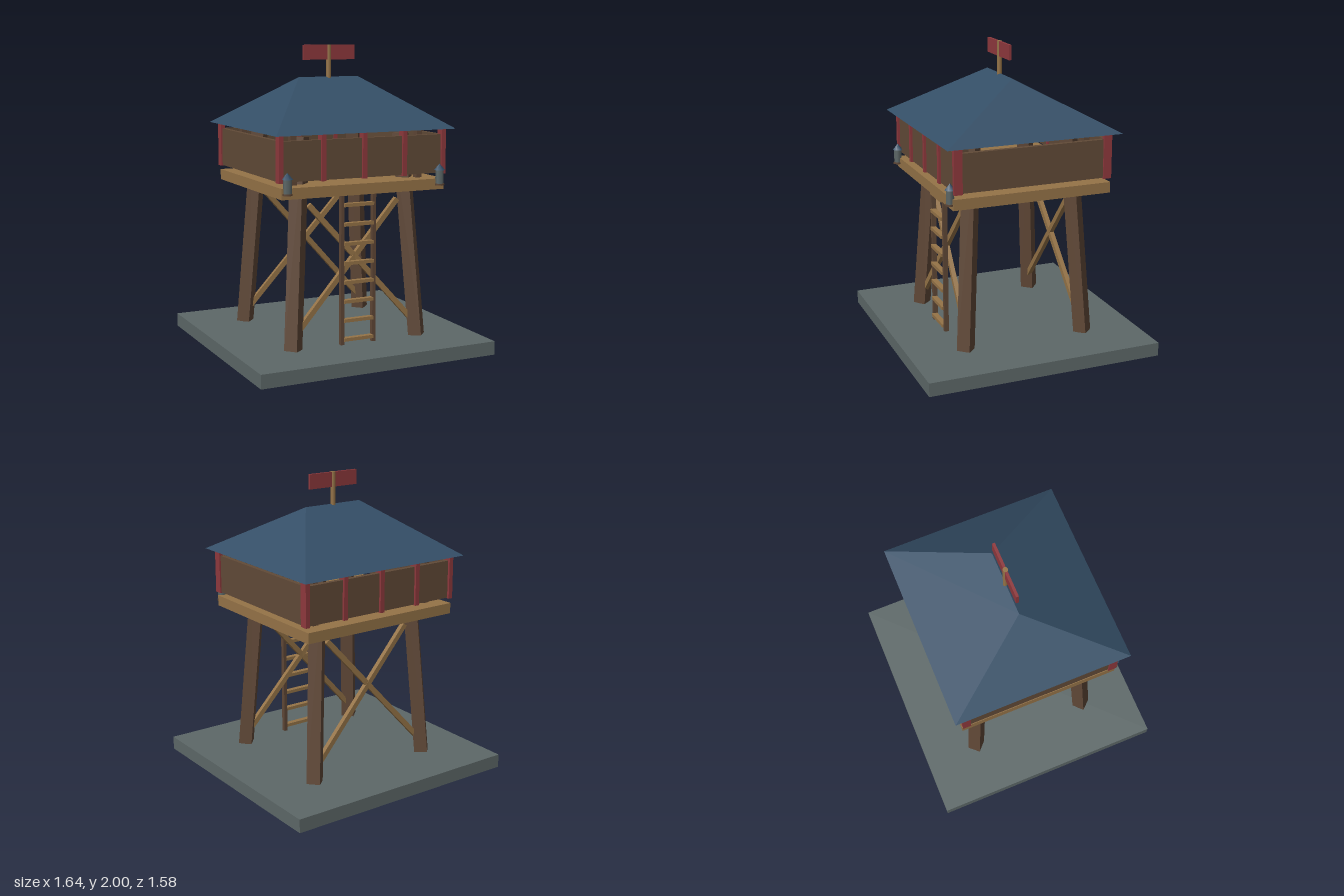
import * as THREE from 'three';

const mat = (name, color) => {
  const m = new THREE.MeshStandardMaterial({ color });
  m.name = name;
  return m;
};

export function createModel() {
  const stone = mat('stone', 0x5d6868);
  const timber = mat('dark timber', 0x5f4736);
  const plank = mat('wall plank', 0x614a37);
  const lightWood = mat('light wood', 0x957347);
  const red = mat('red paint', 0x8f393d);
  const blue = mat('blue roof', 0x344e66);

  const model = new THREE.Group();
  model.name = 'watchtower';

  const add = (name, geometry, material, x = 0, y = 0, z = 0) => {
    const mesh = new THREE.Mesh(geometry, material);
    mesh.name = name;
    mesh.position.set(x, y, z);
    model.add(mesh);
    return mesh;
  };
  const box = (name, material, w, h, d, x, y, z) =>
    add(name, new THREE.BoxGeometry(w, h, d), material, x, y, z);

  // Square bar running from point a to point b
  const beam = (name, material, a, b, w, h) => {
    const from = new THREE.Vector3(...a), to = new THREE.Vector3(...b);
    const mid = from.clone().add(to).multiplyScalar(0.5);
    const mesh = box(name, material, w, h, from.distanceTo(to), mid.x, mid.y, mid.z);
    mesh.lookAt(to);
    return mesh;
  };

  // Base and deck
  box('base', stone, 1.64, 0.09, 1.58, 0, 0.045, 0);
  box('deck', lightWood, 1.14, 0.07, 1.065, 0, 1.11, 0);

  // Leaning legs and the upright roof posts
  for (const sx of [-1, 1]) {
    for (const sz of [-1, 1]) {
      beam('leg', timber, [0.447 * sx, 0.09, 0.415 * sz], [0.357 * sx, 1.435, 0.332 * sz], 0.088, 0.088);
      box('roofPost', timber, 0.04, 0.34, 0.04, 0.445 * sx, 1.315, 0.412 * sz);
    }
  }

  // Crossed braces on front and back
  for (const sz of [-1, 1]) {
    for (const sx of [-1, 1]) {
      beam('brace', lightWood, [0.41 * sx, 0.203, 0.4 * sz], [-0.315 * sx, 1.005, 0.365 * sz], 0.03, 0.035);
    }
  }

  // Ladder
  for (const sx of [-1, 1]) {
    box('ladderRail', timber, 0.024, 0.99, 0.03, 0.1125 * sx, 0.585, 0.43);
  }
  for (let i = 1; i <= 8; i++) {
    box('ladderRung', lightWood, 0.21, 0.022, 0.036, 0, 0.125 * i, 0.437);
  }

  // Parapet walls and red battens
  for (const s of [-1, 1]) {
    box('longWall', plank, 1.11, 0.25, 0.03, 0, 1.305, 0.5 * s);
    box('sideWall', plank, 0.03, 0.25, 0.98, 0.56 * s, 1.305, 0);
    for (let i = -2; i <= 2; i++) {
      box('batten', red, 0.03, 0.295, 0.055, 0.285 * i, 1.3225, 0.503 * s);
    }
  }

  // Hipped roof: eaves rectangle rising to a ridge
  const [ex, ez, rx, y0, y1] = [0.625, 0.585, 0.214, 1.468, 1.79];
  const A = [-ex, y0, ez], B = [ex, y0, ez], C = [ex, y0, -ez], D = [-ex, y0, -ez];
  const L = [-rx, y1, 0], R = [rx, y1, 0];
  const triangles = [
    A, B, R, A, R, L,
    C, D, L, C, L, R,
    B, C, R, D, A, L,
    A, D, C, A, C, B,
  ];
  const roof = new THREE.BufferGeometry();
  roof.setAttribute('position', new THREE.Float32BufferAttribute(triangles.flat(), 3));
  roof.computeVertexNormals();
  add('roof', roof, blue);

  // Signpost and blank sign board
  add('signPost', new THREE.CylinderGeometry(0.017, 0.017, 0.23, 8), lightWood, 0, 1.885, 0);
  box('signBoard', red, 0.37, 0.097, 0.018, 0, 1.95, 0);

  // Corner lanterns
  for (const sx of [-1, 1]) {
    const x = 0.535 * sx, z = 0.54;
    add('lanternFoot', new THREE.CylinderGeometry(0.032, 0.032, 0.012, 6), timber, x, 1.108, z);
    add('lanternBody', new THREE.CylinderGeometry(0.027, 0.027, 0.09, 6), stone, x, 1.158, z);
    add('lanternCap', new THREE.ConeGeometry(0.036, 0.042, 6), blue, x, 1.222, z);
  }

  return model;
}
